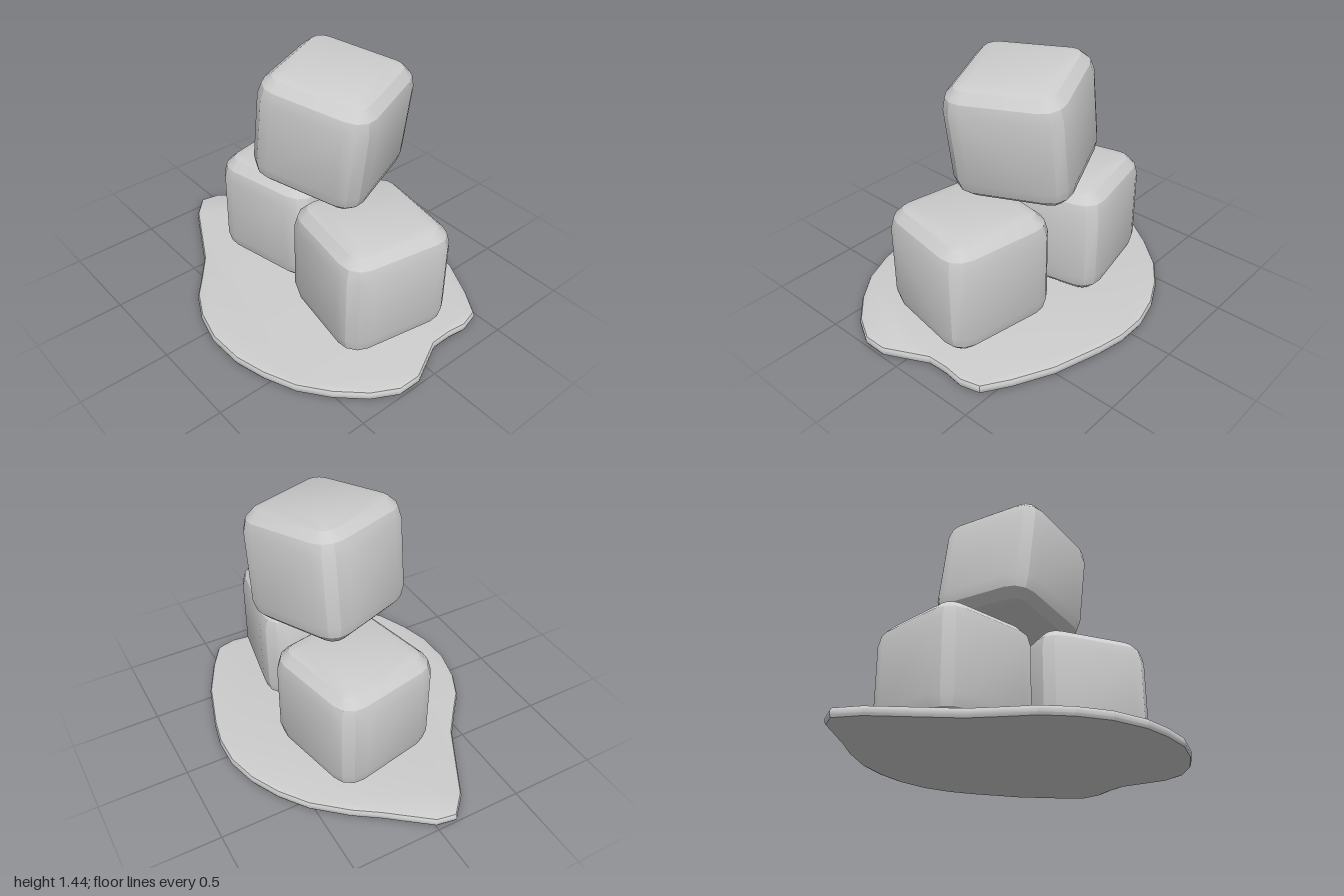
import * as THREE from 'three';
import { toCreasedNormals } from 'three/addons/utils/BufferGeometryUtils.js';
import { ConvexGeometry } from 'three/addons/geometries/ConvexGeometry.js';

const CUBE = 0.655, ROUND = 0.13, STEPS = 3;

// Cube with edges and corners rounded in three steps
function roundedCube() {
  const points = [], inner = CUBE / 2 - ROUND;
  for (const sx of [-1, 1]) for (const sy of [-1, 1]) for (const sz of [-1, 1]) {
    for (let i = 0; i <= STEPS; i++) {
      const lat = (i / STEPS) * Math.PI / 2;
      const turns = i === STEPS ? 0 : STEPS; // a single point at the pole
      for (let j = 0; j <= turns; j++) {
        const lon = (j / STEPS) * Math.PI / 2;
        const ring = i === STEPS ? 0 : Math.cos(lat);
        points.push(new THREE.Vector3(
          sx * (inner + ROUND * ring * Math.cos(lon)),
          sy * (inner + ROUND * Math.sin(lat)),
          sz * (inner + ROUND * ring * Math.sin(lon))
        ));
      }
    }
  }
  return toCreasedNormals(new ConvexGeometry(points), 0.5);
}

// Outline of the melted pool, as x, z pairs
const POOL = [
  [-1, 0.11], [-0.98, 0], [-0.8, -0.23], [-0.71, -0.41 + 0.05], [-0.56, -0.53], [-0.41, -0.64],
  [-0.25, -0.72], [-0.08, -0.765], [0.09, -0.765], [0.24, -0.735], [0.51, -0.655],
  [0.72, -0.55], [0.86, -0.46], [0.89, -0.35], [0.877, -0.24], [0.88, -0.12],
  [0.945, 0.01], [0.995, 0.11], [0.995, 0.24], [0.92, 0.38], [0.79, 0.52],
  [0.64, 0.635], [0.465, 0.71], [0.295, 0.755], [0.09, 0.76], [-0.09, 0.715],
  [-0.24, 0.64], [-0.35, 0.545], [-0.49, 0.43], [-0.685, 0.325], [-0.89, 0.215]
];

// Thin slab with a softened rim
function poolGeometry() {
  const shape = new THREE.Shape(POOL.map(([x, z]) => new THREE.Vector2(x, -z)));
  const bevel = 0.02, height = 0.058;
  const geometry = new THREE.ExtrudeGeometry(shape, {
    depth: height - 2 * bevel, bevelThickness: bevel,
    bevelSize: 0.024, bevelOffset: -0.024, bevelSegments: 2
  });
  geometry.rotateX(-Math.PI / 2);
  geometry.translate(0, bevel, 0);
  return toCreasedNormals(geometry, 0.5);
}

export function createModel() {
  const group = new THREE.Group();
  group.name = 'meltingIceCubes';
  const ice = new THREE.MeshStandardMaterial({ color: 0xcccccc });
  ice.name = 'paleGrey';

  const pool = new THREE.Mesh(poolGeometry(), ice);
  pool.name = 'meltedPool';
  group.add(pool);

  // Two cubes on the pool and one tilted on top: name, position, turn, tilt
  const cubeGeometry = roundedCube();
  const cubes = [
    ['rightCube', [-0.265, 0.386, -0.095], 0.21, 0],
    ['leftCube', [0.46, 0.386, -0.02], -0.17, 0],
    ['topCube', [0.09, 1.08, -0.07], 0.38, -0.13]
  ];
  for (const [name, position, turn, tilt] of cubes) {
    const cube = new THREE.Mesh(cubeGeometry, ice);
    cube.name = name;
    cube.position.set(...position);
    cube.rotation.set(0, turn, tilt, 'ZYX');
    group.add(cube);
  }
  return group;
}
